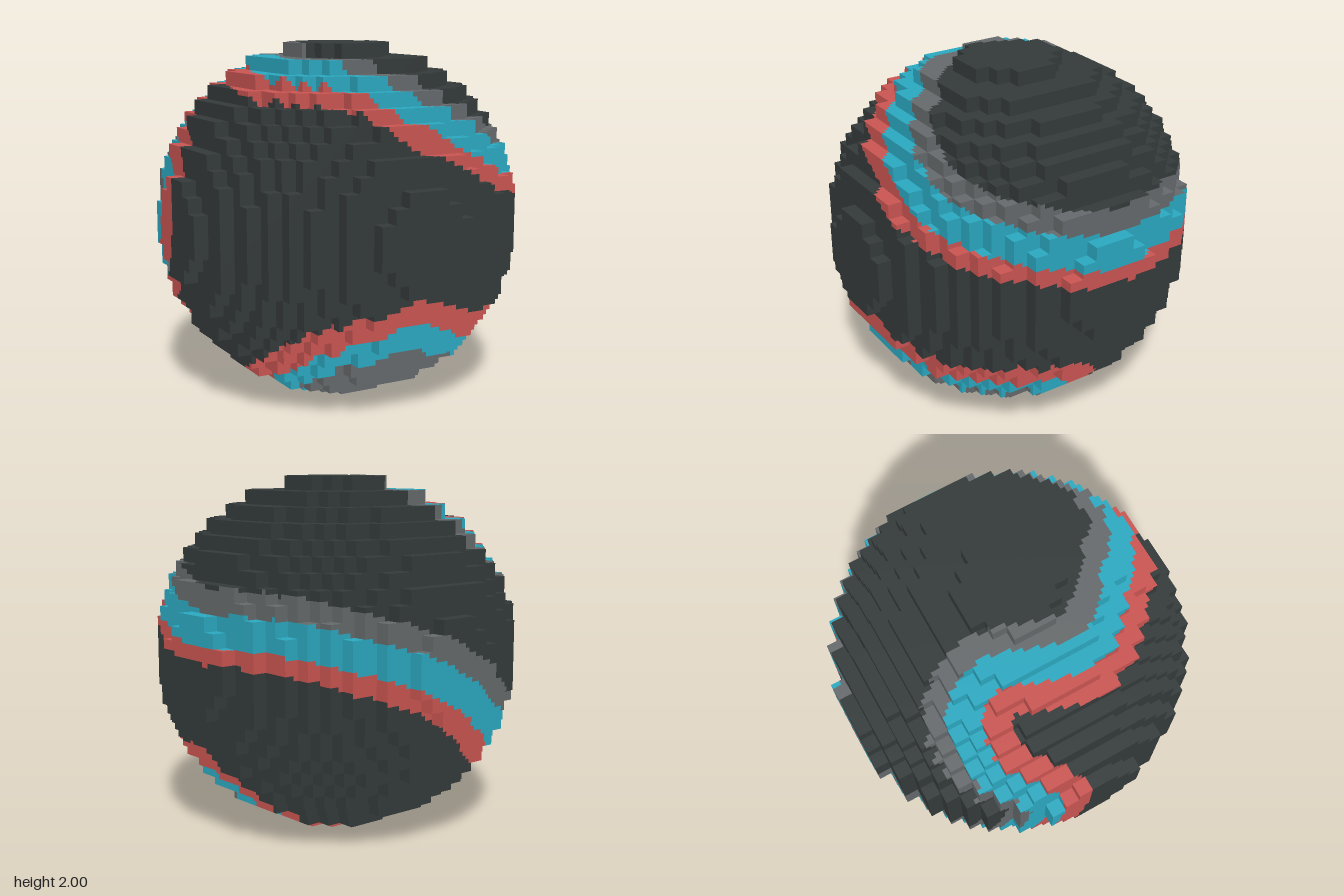
import * as THREE from 'three';

const UNIT = 0.08;      // block size
const R2 = 12.5 * 12.5; // ball radius squared, in blocks
const SPLIT = 3;        // colour cells along each block face

const paint = (name, color) => {
  const m = new THREE.MeshStandardMaterial({ color });
  m.name = name;
  return m;
};

// Closed edge line on the unit sphere, sampled as points with inward-pointing sides
function edgeLine(points, flip) {
  const curve = new THREE.CatmullRomCurve3(points.map(p => new THREE.Vector3(...p).normalize()), true, 'centripetal');
  const pts = curve.getPoints(360).map(p => p.normalize());
  pts.pop();
  return pts.map((p, i) => {
    const tangent = pts[(i + 1) % pts.length].clone().sub(pts[(i + pts.length - 1) % pts.length]);
    return { p, side: p.clone().cross(tangent).multiplyScalar(flip) };
  });
}

// Distance to an edge line, positive inside
function signedDistance(line, q) {
  let best = Infinity, hit = null;
  for (const s of line) {
    const d = s.p.distanceToSquared(q);
    if (d < best) { best = d; hit = s; }
  }
  const inside = hit.side.dot(q) - hit.side.dot(hit.p) > 0;
  return Math.sqrt(best) * (inside ? 1 : -1);
}

// Edge between red and teal of the large winding band
const upperEdge = edgeLine([
  [-0.53, 0.81, 0.28], [-0.2, 0.75, 0.63], [0, 0.62, 0.78], [0.3, 0.46, 0.84], [0.5, 0.35, 0.79],
  [0.7, 0.28, 0.66], [0.89, 0.2, 0.41], [0.99, 0.12, 0], [0.95, 0.12, -0.3], [0.79, 0.1, -0.6],
  [0.6, 0.04, -0.8], [0.22, -0.09, -0.97], [-0.09, -0.26, -0.96], [-0.29, -0.4, -0.87],
  [-0.5, -0.5, -0.7], [-0.7, -0.49, -0.52], [-0.9, -0.3, -0.31], [-0.97, -0.07, -0.23],
  [-0.955, 0.2, -0.2], [-0.9, 0.36, -0.26], [-0.7, 0.56, -0.44], [-0.49, 0.76, -0.43],
  [-0.43, 0.85, -0.3], [-0.5, 0.86, -0.1], [-0.54, 0.83, 0.12],
], 1);

// Edge between red and teal of the patch under the front
const lowerEdge = edgeLine([
  [0, -0.47, 0.88], [0.2, -0.52, 0.83], [0.35, -0.58, 0.73], [0.55, -0.6, 0.58], [0.72, -0.6, 0.35],
  [0.75, -0.65, 0.12], [0.6, -0.8, 0], [0.44, -0.9, -0.04], [0.2, -0.97, -0.05], [-0.15, -0.98, -0.04],
  [-0.37, -0.93, 0], [-0.5, -0.85, 0.17], [-0.52, -0.75, 0.41], [-0.45, -0.62, 0.64],
  [-0.36, -0.56, 0.75], [-0.1, -0.5, 0.86],
], -1);

// Colour of the ball in a direction
function colourAt(q) {
  const low = signedDistance(lowerEdge, q);
  if (low > 0.16) return 'grey';
  if (low > 0) return 'teal';
  if (low > -0.16) return 'red';
  const up = signedDistance(upperEdge, q);
  if (up > 0.31 || up < -(0.13 - 0.04 * q.x)) return 'dark';
  return up > 0.18 ? 'grey' : up > 0 ? 'teal' : 'red';
}

export function createModel() {
  const group = new THREE.Group();
  group.name = 'blockBall';
  const parts = {
    dark: { name: 'darkShell', mat: paint('charcoal', 0x343a3a), pos: [] },
    grey: { name: 'greyBand', mat: paint('mid grey', 0x666a6c), pos: [] },
    teal: { name: 'tealBand', mat: paint('teal', 0x2ba9c1), pos: [] },
    red: { name: 'redBand', mat: paint('coral red', 0xca5552), pos: [] },
  };
  const filled = c => c[0] * c[0] + c[1] * c[1] + c[2] * c[2] <= R2;
  const q = new THREE.Vector3();

  // Outer face of one block, cut into small colour cells
  function addFace(c, axis, sign) {
    const u = (axis + 1) % 3, v = (axis + 2) % 3;
    const at = (a, b) => {
      const p = [...c];
      p[axis] += sign / 2;
      p[u] += a / SPLIT - 0.5;
      p[v] += b / SPLIT - 0.5;
      return p;
    };
    for (let a = 0; a < SPLIT; a++) for (let b = 0; b < SPLIT; b++) {
      const { pos } = parts[colourAt(q.fromArray(at(a + 0.5, b + 0.5)).normalize())];
      const quad = [at(a, b), at(a + 1, b), at(a + 1, b + 1), at(a, b + 1)];
      if (sign < 0) quad.reverse();
      for (const k of [0, 1, 2, 0, 2, 3]) {
        const [x, y, z] = quad[k];
        pos.push(x * UNIT, y * UNIT + 1, z * UNIT);
      }
    }
  }

  // Ball of blocks: only faces without a neighbour
  for (let x = -12; x <= 12; x++) for (let y = -12; y <= 12; y++) for (let z = -12; z <= 12; z++) {
    const c = [x, y, z];
    if (!filled(c)) continue;
    for (let axis = 0; axis < 3; axis++) for (const sign of [-1, 1]) {
      const next = [...c];
      next[axis] += sign;
      if (!filled(next)) addFace(c, axis, sign);
    }
  }

  for (const { name, mat, pos } of Object.values(parts)) {
    const geo = new THREE.BufferGeometry();
    geo.setAttribute('position', new THREE.Float32BufferAttribute(pos, 3));
    geo.computeVertexNormals();
    const mesh = new THREE.Mesh(geo, mat);
    mesh.name = name;
    group.add(mesh);
  }
  return group;
}
